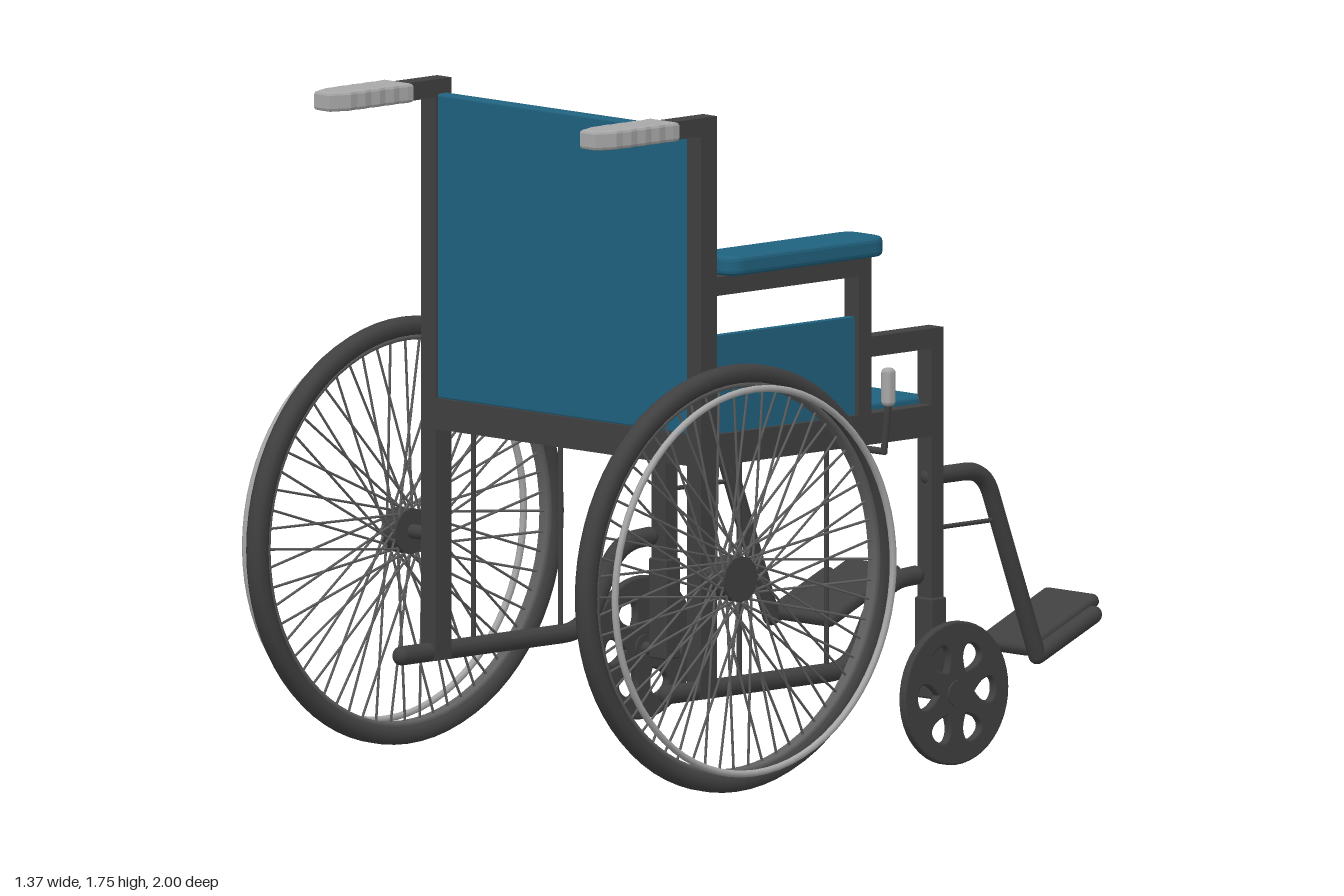
import * as THREE from 'three';
import { RoundedBoxGeometry } from 'three/addons/geometries/RoundedBoxGeometry.js';
import { mergeGeometries } from 'three/addons/utils/BufferGeometryUtils.js';

const mat = (color) => new THREE.MeshStandardMaterial({ color });
const dark = mat(0x404040), blue = mat(0x20627f), light = mat(0xa8a8a8), wire = mat(0x606060);
const V = (x, y, z) => new THREE.Vector3(x, y, z);

function add(parent, name, geometry, material) {
  const mesh = new THREE.Mesh(geometry, material);
  mesh.name = name;
  parent.add(mesh);
  return mesh;
}

// Box given by its limits on each axis
function box(parent, name, [x0, x1], [y0, y1], [z0, z1], material = dark, round = 0) {
  const w = Math.abs(x1 - x0), h = y1 - y0, d = Math.abs(z1 - z0);
  const g = round ? new RoundedBoxGeometry(w, h, d, 2, round) : new THREE.BoxGeometry(w, h, d);
  g.translate((x0 + x1) / 2, (y0 + y1) / 2, (z0 + z1) / 2);
  return add(parent, name, g, material);
}

// Straight round rod between two points
function rodGeometry(a, b, r, sides = 12) {
  const d = b.clone().sub(a);
  const g = new THREE.CylinderGeometry(r, r, d.length(), sides);
  g.applyQuaternion(new THREE.Quaternion().setFromUnitVectors(V(0, 1, 0), d.normalize()));
  return g.translate((a.x + b.x) / 2, (a.y + b.y) / 2, (a.z + b.z) / 2);
}
const rod = (parent, name, a, b, r, material = dark) => add(parent, name, rodGeometry(a, b, r), material);

// Bent tube through [z, y] points in a plane of constant x, with rounded corners and ends
function bentTube(parent, name, x, pts, r, bend) {
  const p = pts.map(([z, y]) => V(x, y, z));
  const path = new THREE.CurvePath();
  let last = p[0];
  for (let i = 1; i < p.length - 1; i++) {
    const toward = (q) => p[i].clone().add(q.clone().sub(p[i]).setLength(bend));
    const a = toward(p[i - 1]), b = toward(p[i + 1]);
    path.add(new THREE.LineCurve3(last, a));
    path.add(new THREE.QuadraticBezierCurve3(a, p[i], b));
    last = b;
  }
  path.add(new THREE.LineCurve3(last, p[p.length - 1]));
  const parts = [new THREE.TubeGeometry(path, 70, r, 12)];
  for (const e of [p[0], p[p.length - 1]]) {
    parts.push(new THREE.SphereGeometry(r, 12, 8).translate(e.x, e.y, e.z));
  }
  add(parent, name, mergeGeometries(parts), dark);
}

// Lathe turned so that its axis runs along x; profile in [radius, x]
const ring = (profile) => new THREE.LatheGeometry(
  profile.map(([r, x]) => new THREE.Vector2(r, x)), 72).rotateZ(-Math.PI / 2);

function driveWheel(s) {
  const g = new THREE.Group();
  g.name = 'driveWheel';
  g.position.set(s * 0.602, 0.57, 0.447);
  add(g, 'tire', ring([[0.505, -0.02], [0.525, -0.028], [0.543, -0.023], [0.55, -0.01], [0.55, 0.01],
    [0.543, 0.023], [0.525, 0.028], [0.505, 0.02], [0.505, -0.02]]), dark);
  add(g, 'rim', ring([[0.492, -0.014], [0.508, -0.019], [0.508, 0.019], [0.492, 0.014], [0.492, -0.014]]), wire);
  const hand = new THREE.TorusGeometry(0.495, 0.009, 8, 72).rotateY(Math.PI / 2);
  add(g, 'handRim', hand.translate(s * 0.075, 0, 0), light);
  rod(g, 'hub', V(-0.028, 0, 0), V(0.028, 0, 0), 0.06);
  // Laced spokes leaving the hub alternately forward and backward
  const spokes = [];
  const n = 60;
  for (let i = 0; i < n; i++) {
    const a = (i / n) * Math.PI * 2, h = a + (i % 2 ? 0.9 : -0.9), x = i % 4 < 2 ? 0.018 : -0.018;
    spokes.push(rodGeometry(V(x, 0.055 * Math.sin(h), 0.055 * Math.cos(h)),
      V(0, 0.497 * Math.sin(a), 0.497 * Math.cos(a)), 0.0035, 5));
  }
  add(g, 'spokes', mergeGeometries(spokes), wire);
  return g;
}

function casterWheel(s) {
  const g = new THREE.Group();
  g.name = 'casterWheel';
  g.position.set(s * 0.573, 0.19, -0.365);
  const disc = new THREE.Shape().absarc(0, 0, 0.18, 0, Math.PI * 2);
  // Six teardrop openings
  for (let i = 0; i < 6; i++) {
    const a = (i * Math.PI) / 3;
    const at = (r, t) => [r * Math.cos(a) - t * Math.sin(a), r * Math.sin(a) + t * Math.cos(a)];
    const hole = new THREE.Path();
    hole.moveTo(...at(0.058, 0));
    hole.bezierCurveTo(...at(0.075, -0.02), ...at(0.09, -0.036), ...at(0.115, -0.036));
    hole.bezierCurveTo(...at(0.15, -0.036), ...at(0.15, 0.036), ...at(0.115, 0.036));
    hole.bezierCurveTo(...at(0.09, 0.036), ...at(0.075, 0.02), ...at(0.058, 0));
    disc.holes.push(hole);
  }
  const geo = new THREE.ExtrudeGeometry(disc, { depth: 0.014, bevelThickness: 0.005, bevelSize: 0.005,
    bevelSegments: 2, curveSegments: 24 });
  add(g, 'casterDisc', geo.translate(0, 0, -0.007).rotateY(Math.PI / 2), dark);
  rod(g, 'casterHub', V(-0.018, 0, 0), V(0.018, 0, 0), 0.035);
  rod(g, 'casterAxle', V(s * -0.09, 0, 0), V(0, 0, 0), 0.017);
  return g;
}

function sideAssembly(s) {
  const g = new THREE.Group();
  g.name = s > 0 ? 'leftSide' : 'rightSide';
  const x = s * 0.487, wide = [x - 0.026, x + 0.026];

  // Square frame members
  box(g, 'backPost', wide, [0.25, 1.75], [0.419, 0.476]);
  box(g, 'handleBar', wide, [1.703, 1.75], [0.47, 0.6]);
  box(g, 'seatRail', wide, [0.848, 0.928], [-0.386, 0.476]);
  box(g, 'frontPost', wide, [0.36, 1.126], [-0.386, -0.344]);
  box(g, 'frontGuardBar', wide, [1.074, 1.126], [-0.386, -0.1]);
  box(g, 'armPost', wide, [0.9, 1.334], [-0.13, -0.085]);
  box(g, 'armBar', wide, [1.286, 1.334], [-0.13, 0.43]);
  box(g, 'casterSleeve', [x - 0.032, x + 0.032], [0.17, 0.43], [-0.393, -0.338], dark, 0.006);
  bentTube(g, 'lowerRail', x, [[0.57, 0.27], [-0.08, 0.27], [-0.2, 0.485], [-0.31, 0.49]], 0.025, 0.075);
  for (const z of [0.315, 0.005]) rod(g, 'sideStay', V(x, 0.28, z), V(x, 0.86, z), 0.007);

  // Push grip with tapered end and finger ridges
  const grip = new THREE.Shape();
  grip.moveTo(-0.053, 0.58);
  for (let i = 0; i < 4; i++) {
    grip.lineTo(-0.053, 0.6 + i * 0.05);
    grip.lineTo(-0.048, 0.625 + i * 0.05);
  }
  grip.lineTo(-0.05, 0.8);
  grip.lineTo(-0.028, 0.855);
  grip.lineTo(0.028, 0.855);
  grip.lineTo(0.05, 0.8);
  for (let i = 3; i >= 0; i--) {
    grip.lineTo(0.048, 0.625 + i * 0.05);
    grip.lineTo(0.053, 0.6 + i * 0.05);
  }
  grip.lineTo(0.053, 0.58);
  const gripGeo = new THREE.ExtrudeGeometry(grip, { depth: 0.034, bevelThickness: 0.008, bevelSize: 0.008,
    bevelOffset: -0.008, bevelSegments: 2 });
  add(g, 'pushGrip', gripGeo.rotateX(Math.PI / 2).translate(x, 1.745, 0), light);

  // Arm pad, rounded in plan, and the cloth side guard
  const pad = new THREE.Shape(), w = 0.074, l = 0.28, c = 0.05;
  pad.moveTo(-w + c, -l);
  pad.lineTo(w - c, -l).quadraticCurveTo(w, -l, w, -l + c);
  pad.lineTo(w, l - c).quadraticCurveTo(w, l, w - c, l);
  pad.lineTo(-w + c, l).quadraticCurveTo(-w, l, -w, l - c);
  pad.lineTo(-w, -l + c).quadraticCurveTo(-w, -l, -w + c, -l);
  const padGeo = new THREE.ExtrudeGeometry(pad, { depth: 0.026, bevelThickness: 0.013, bevelSize: 0.013,
    bevelOffset: -0.013, bevelSegments: 3 });
  add(g, 'armPad', padGeo.rotateX(Math.PI / 2).translate(s * 0.484, 1.376, 0.13), blue);
  box(g, 'sideGuard', [x - 0.012, x + 0.012], [0.92, 1.18], [-0.09, 0.425], blue);

  // Footrest hanger, brace and tilted plate
  bentTube(g, 'footrestHanger', x, [[-0.36, 0.74], [-0.555, 0.74], [-0.745, 0.24]], 0.023, 0.07);
  bentTube(g, 'footplateArm', x, [[-0.745, 0.24], [-0.945, 0.325]], 0.023, 0);
  rod(g, 'footrestBrace', V(x, 0.605, -0.37), V(x, 0.605, -0.6), 0.006);
  const plate = add(g, 'footplate', new RoundedBoxGeometry(0.195, 0.036, 0.285, 3, 0.016), dark);
  plate.position.set(s * 0.362, 0.302, -0.868);
  plate.rotation.x = 0.41;

  // Wheels
  rod(g, 'driveAxle', V(x, 0.57, 0.447), V(s * 0.6, 0.57, 0.447), 0.019);
  g.add(driveWheel(s), casterWheel(s));
  return g;
}

export function createModel() {
  const model = new THREE.Group();
  model.name = 'wheelchair';
  for (const s of [1, -1]) model.add(sideAssembly(s));

  // Cross members, seat and backrest
  box(model, 'rearCrossRail', [-0.49, 0.49], [0.848, 0.928], [0.419, 0.476]);
  box(model, 'frontCrossRail', [-0.49, 0.49], [0.848, 0.928], [-0.386, -0.34]);
  box(model, 'seat', [-0.468, 0.468], [0.9, 0.948], [-0.375, 0.44], blue, 0.012);
  box(model, 'backrest', [-0.47, 0.47], [0.925, 1.712], [0.428, 0.467], blue, 0.008);

  // Parking brake on one side only
  const brake = new THREE.Group();
  brake.name = 'brake';
  rod(brake, 'brakePivot', V(0.45, 0.832, -0.143), V(0.55, 0.832, -0.143), 0.009);
  rod(brake, 'brakeLever', V(0.545, 0.828, -0.143), V(0.562, 0.96, -0.143), 0.009);
  box(brake, 'brakeGrip', [0.545, 0.578], [0.95, 1.05], [-0.16, -0.126], light, 0.013);
  model.add(brake);
  return model;
}
